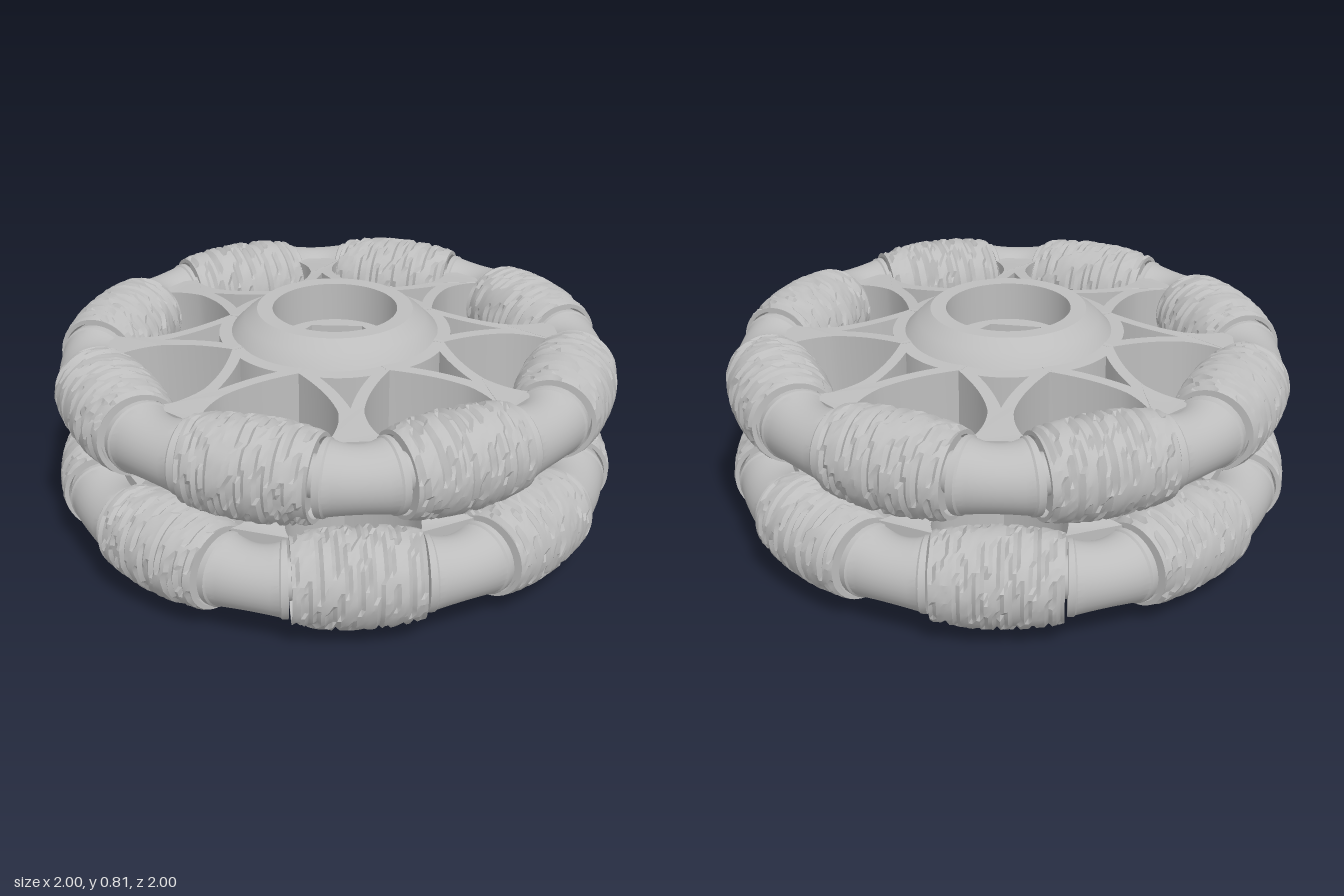
import * as THREE from 'three';
import { toCreasedNormals } from 'three/addons/utils/BufferGeometryUtils.js';

const H = 0.81;           // full height
const MID = 0.595;        // height of the upper roller ring
const STEP = Math.PI / 4; // eight rollers per ring
const GAP = STEP / 4;     // angle of the first gap from the front
const V = (x, y) => new THREE.Vector2(x, y);

const grey = new THREE.MeshStandardMaterial({ color: 0xbdbdbd });
grey.name = 'light grey';

function part(name, geometry) {
  const mesh = new THREE.Mesh(geometry, grey);
  mesh.name = name;
  return mesh;
}

// repeatable noise from two integers, 0..1
function hash(i, j) {
  const s = Math.sin(i * 127.1 + j * 311.7) * 43758.5453;
  return s - Math.floor(s);
}

// barrel roller along x, with short rough grooves running around it
function rollerGeometry() {
  const half = 0.215, rows = 34, sides = 48;
  const pts = [V(0, -0.18), V(0.122, -0.18), V(0.13, -half)];
  const first = pts.length;
  for (let i = 0; i <= rows; i++) {
    const y = -half + (2 * half * i) / rows;
    pts.push(V(Math.sqrt(1 - y * y) - 0.832, y));
  }
  pts.push(V(0.13, half), V(0.122, 0.18), V(0, 0.18));
  const geo = new THREE.LatheGeometry(pts, sides);
  const p = geo.attributes.position;
  for (let k = 0; k < p.count; k++) {
    const row = (k % pts.length) - first;
    const seg = Math.floor(k / pts.length) % sides;
    if (row < 1 || row >= rows) continue;
    const dash = Math.floor(((seg + Math.floor(hash(row, 7) * 4)) % sides) / 4);
    const r = Math.hypot(p.getX(k), p.getZ(k));
    const bump = hash(row, dash + 20) < 0.3 ? -0.009 : 0.004 * hash(row + 50, seg);
    const f = (r + bump) / r;
    p.setX(k, p.getX(k) * f);
    p.setZ(k, p.getZ(k) * f);
  }
  geo.rotateZ(Math.PI / 2);
  return toCreasedNormals(geo, 0.35);
}

// bent joint between two rollers, with a slightly flared collar at each end
function jointGeometry() {
  const pts = [V(0, -0.155), V(0.07, -0.155), V(0.07, -0.112), V(0.128, -0.112), V(0.128, -0.095)];
  for (let i = 0; i <= 8; i++) {
    const y = -0.09 + (0.18 * i) / 8;
    pts.push(V(0.11 + 0.012 * (y / 0.09) ** 2, y));
  }
  pts.push(V(0.128, 0.095), V(0.128, 0.112), V(0.07, 0.112), V(0.07, 0.155), V(0, 0.155));
  const geo = new THREE.LatheGeometry(pts, 32);
  geo.rotateZ(Math.PI / 2);
  const p = geo.attributes.position, bend = 0.3;
  for (let k = 0; k < p.count; k++) {
    const a = p.getX(k) / bend, r = bend + p.getZ(k);
    p.setX(k, r * Math.sin(a));
    p.setZ(k, r * Math.cos(a) - bend);
  }
  return toCreasedNormals(geo, 0.5);
}

// tall forked spoke: one stem at the rim, two legs at the hub
function spokeGeometry() {
  const s = new THREE.Shape();
  s.moveTo(0.145, 0.31);
  s.lineTo(0.158, 0.36);
  s.quadraticCurveTo(0.06, 0.5, 0.042, 0.62);
  s.quadraticCurveTo(0.04, 0.72, 0.1, 0.8);
  s.lineTo(-0.1, 0.8);
  s.quadraticCurveTo(-0.04, 0.72, -0.042, 0.62);
  s.quadraticCurveTo(-0.06, 0.5, -0.158, 0.36);
  s.lineTo(-0.145, 0.31);
  s.closePath();
  const h = new THREE.Path();
  h.moveTo(0.085, 0.4);
  h.quadraticCurveTo(0, 0.42, -0.085, 0.4);
  h.quadraticCurveTo(-0.03, 0.49, 0, 0.6);
  h.quadraticCurveTo(0.03, 0.49, 0.085, 0.4);
  s.holes.push(h);
  const geo = new THREE.ExtrudeGeometry(s, { depth: 1, bevelEnabled: false, curveSegments: 10 });
  geo.rotateX(Math.PI / 2);
  // top edge slopes down from hub to rim
  const p = geo.attributes.position;
  for (let k = 0; k < p.count; k++) {
    const t = THREE.MathUtils.clamp((p.getZ(k) - 0.31) / 0.45, 0, 1);
    p.setY(k, p.getY(k) > -0.5 ? 0.735 - 0.045 * t : 0.41 + 0.06 * t * t);
  }
  return toCreasedNormals(geo, 0.5);
}

// hub shell with round bores, and a hexagonal core inside
function makeHub() {
  const hub = new THREE.Group();
  hub.name = 'hub';
  const side = [V(0.275, 0), V(0.32, 0.035), V(0.365, 0.08), V(0.385, 0.12), V(0.345, 0.17)];
  const pts = [V(0.22, 0), ...side,
    ...side.slice().reverse().map((v) => V(v.x, H - v.y)), V(0.22, H), V(0.22, 0)];
  hub.add(part('hubShell', toCreasedNormals(new THREE.LatheGeometry(pts, 64), 0.5)));

  const disc = new THREE.Shape();
  disc.absarc(0, 0, 0.225, 0, Math.PI * 2);
  const hex = new THREE.Path();
  for (let i = 0; i < 6; i++) {
    const a = GAP + (i * Math.PI) / 3;
    const x = 0.185 * Math.sin(a), y = -0.185 * Math.cos(a);
    if (i) hex.lineTo(x, y); else hex.moveTo(x, y);
  }
  hex.closePath();
  disc.holes.push(hex);
  const core = new THREE.ExtrudeGeometry(disc, { depth: 0.53, bevelEnabled: false, curveSegments: 32 });
  core.rotateX(Math.PI / 2);
  core.translate(0, 0.67, 0);
  hub.add(part('hexCore', core));
  return hub;
}

export function createModel() {
  const model = new THREE.Group();
  model.name = 'omniWheel';
  model.add(makeHub());

  const roller = rollerGeometry(), joint = jointGeometry(), spoke = spokeGeometry();
  for (const name of ['upperRing', 'lowerRing']) {
    const ring = new THREE.Group();
    ring.name = name;
    for (let i = 0; i < 8; i++) {
      const gap = new THREE.Group();
      gap.name = 'spokeAndJoint';
      gap.rotation.y = GAP + i * STEP;
      const j = part('joint', joint);
      j.position.set(0, MID, 0.868);
      gap.add(j, part('spoke', spoke));

      const seat = new THREE.Group();
      seat.name = 'rollerSeat';
      seat.rotation.y = GAP + (i + 0.5) * STEP;
      const r = part('roller', roller);
      r.position.set(0, MID, 0.83);
      r.rotation.x = i * 1.3;
      seat.add(r);
      ring.add(gap, seat);
    }
    // lower ring is the upper one turned over
    if (name === 'lowerRing') {
      ring.rotation.z = Math.PI;
      ring.position.y = H;
    }
    model.add(ring);
  }
  return model;
}
